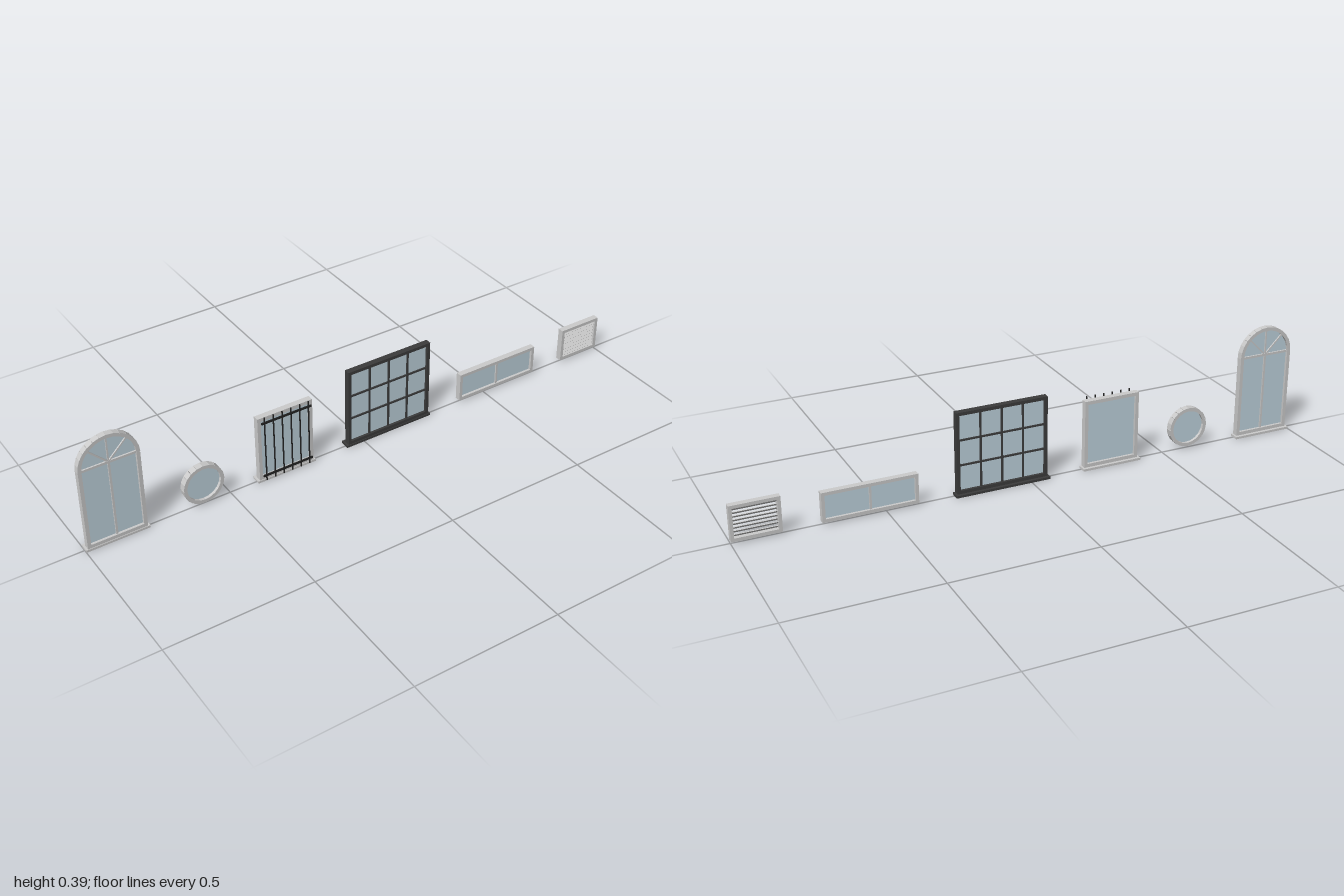
import * as THREE from 'three';

const mat = (color) => new THREE.MeshStandardMaterial({ color });
const BASE = 0.008; // sill height, where the frames begin
const DEPTH = 0.021;

export function createModel() {
  const model = new THREE.Group();
  const grey = mat(0xcccccc), dark = mat(0x3c3c3c), iron = mat(0x222222), glass = mat(0xbfd3de);

  const add = (parent, name, geometry, material, x, y, z = 0) => {
    const mesh = new THREE.Mesh(geometry, material);
    mesh.name = name;
    mesh.position.set(x, y, z);
    parent.add(mesh);
    return mesh;
  };
  const box = (parent, name, w, h, d, material, x, y, z) =>
    add(parent, name, new THREE.BoxGeometry(w, h, d), material, x, y, z);
  const unit = (name, x) => {
    const g = new THREE.Group();
    g.name = name;
    g.position.x = x;
    model.add(g);
    return g;
  };

  // Rectangular frame; the head is left out below an arch
  const frame = (g, w, top, t, material, head = true) => {
    const h = top - BASE;
    for (const s of [-1, 1]) box(g, 'jamb', t, h, DEPTH, material, s * (w - t) / 2, BASE + h / 2);
    box(g, 'bottomRail', w - 2 * t, t, DEPTH, material, 0, BASE + t / 2);
    if (head) box(g, 'topRail', w - 2 * t, t, DEPTH, material, 0, top - t / 2);
  };
  const sill = (g, w, material) => box(g, 'sill', w, BASE, 0.034, material, 0, BASE / 2, -0.004);
  const pane = (g, w, top, t) =>
    box(g, 'glass', w - 2 * t, top - BASE - 2 * t, 0.003, glass, 0, (top + BASE) / 2);

  // Straight blocks set along an arc
  const ring = (g, name, radius, t, depth, cy, sweep, count) => {
    const step = sweep / count, mid = radius - t / 2;
    for (let i = 0; i < count; i++) {
      const a = (i + 0.5) * step;
      box(g, name, t, 2 * mid * Math.sin(step / 2) * 1.04, depth, grey,
        Math.cos(a) * mid, cy + Math.sin(a) * mid).rotation.z = a;
    }
  };

  // Arched window with a fanlight
  {
    const g = unit('archedWindow', -0.893), spring = 0.293, r = 0.1, t = 0.012;
    sill(g, 0.214, grey);
    frame(g, 2 * r, spring, t, grey, false);
    ring(g, 'archBlock', r, t, DEPTH, spring, Math.PI, 14);
    box(g, 'glass', 2 * (r - t), spring - BASE - t, 0.003, glass, 0, (spring + BASE + t) / 2);
    const fan = new THREE.CylinderGeometry(r - t * 0.7, r - t * 0.7, 0.003, 14, 1, false, 0, Math.PI);
    fan.rotateX(Math.PI / 2).rotateZ(Math.PI / 2);
    add(g, 'fanGlass', fan, glass, 0, spring);
    box(g, 'transom', 2 * (r - t), 0.008, 0.014, grey, 0, spring);
    box(g, 'mullion', 0.007, spring - BASE - t, 0.014, grey, 0, (spring + BASE + t) / 2);
    for (const a of [0.25, 0.5, 0.75].map((k) => k * Math.PI)) {
      const len = r - t;
      box(g, 'fanSpoke', len, 0.005, 0.012, grey,
        Math.cos(a) * len / 2, spring + Math.sin(a) * len / 2).rotation.z = a;
    }
  }

  // Round window
  {
    const g = unit('roundWindow', -0.594);
    ring(g, 'rimBlock', 0.07, 0.012, 0.023, 0.08, Math.PI * 2, 20);
    const disc = new THREE.CylinderGeometry(0.061, 0.061, 0.003, 20).rotateX(Math.PI / 2);
    add(g, 'glass', disc, glass, 0, 0.08);
  }

  // Barred window
  {
    const g = unit('barredWindow', -0.297), w = 0.2, top = 0.246, t = 0.012;
    sill(g, 0.214, grey);
    frame(g, w, top, t, grey);
    pane(g, w, top, t);
    for (let i = 0; i < 6; i++) {
      add(g, 'securityBar', new THREE.CylinderGeometry(0.0025, 0.0025, 0.242, 8), iron,
        -0.08 + i * 0.032, 0.13, 0.02);
    }
    for (const y of [0.028, 0.231]) box(g, 'barRail', 0.182, 0.007, 0.004, iron, 0, y, 0.02);
  }

  // Dark window with a grid of panes, four by three
  {
    const g = unit('gridWindow', 0.1), w = 0.32, top = 0.292, t = 0.011;
    sill(g, 0.334, dark);
    frame(g, w, top, t, dark);
    pane(g, w, top, t);
    const iw = w - 2 * t, ih = top - BASE - 2 * t, mid = (top + BASE) / 2;
    for (const k of [-1, 0, 1]) box(g, 'verticalBar', 0.006, ih, 0.013, dark, k * iw / 4, mid);
    for (const k of [-1, 1]) box(g, 'horizontalBar', iw, 0.006, 0.012, dark, 0, mid + k * ih / 6);
  }

  // Low wide window
  {
    const g = unit('lowWindow', 0.552), w = 0.32, top = 0.111, t = 0.011;
    frame(g, w, top, t, grey);
    pane(g, w, top, t);
    box(g, 'mullion', 0.007, top - BASE - 2 * t, 0.014, grey, 0, (top + BASE) / 2);
  }

  // Louvred vent
  {
    const g = unit('louvredVent', 0.919), w = 0.162, top = 0.13, t = 0.011, count = 8;
    frame(g, w, top, t, grey);
    const pitch = (top - BASE - 2 * t) / count;
    for (let i = 0; i < count; i++) {
      box(g, 'slat', w - 2 * t, 0.0025, 0.016, grey, 0, BASE + t + (i + 0.5) * pitch).rotation.x = 0.75;
    }
  }

  return model;
}
